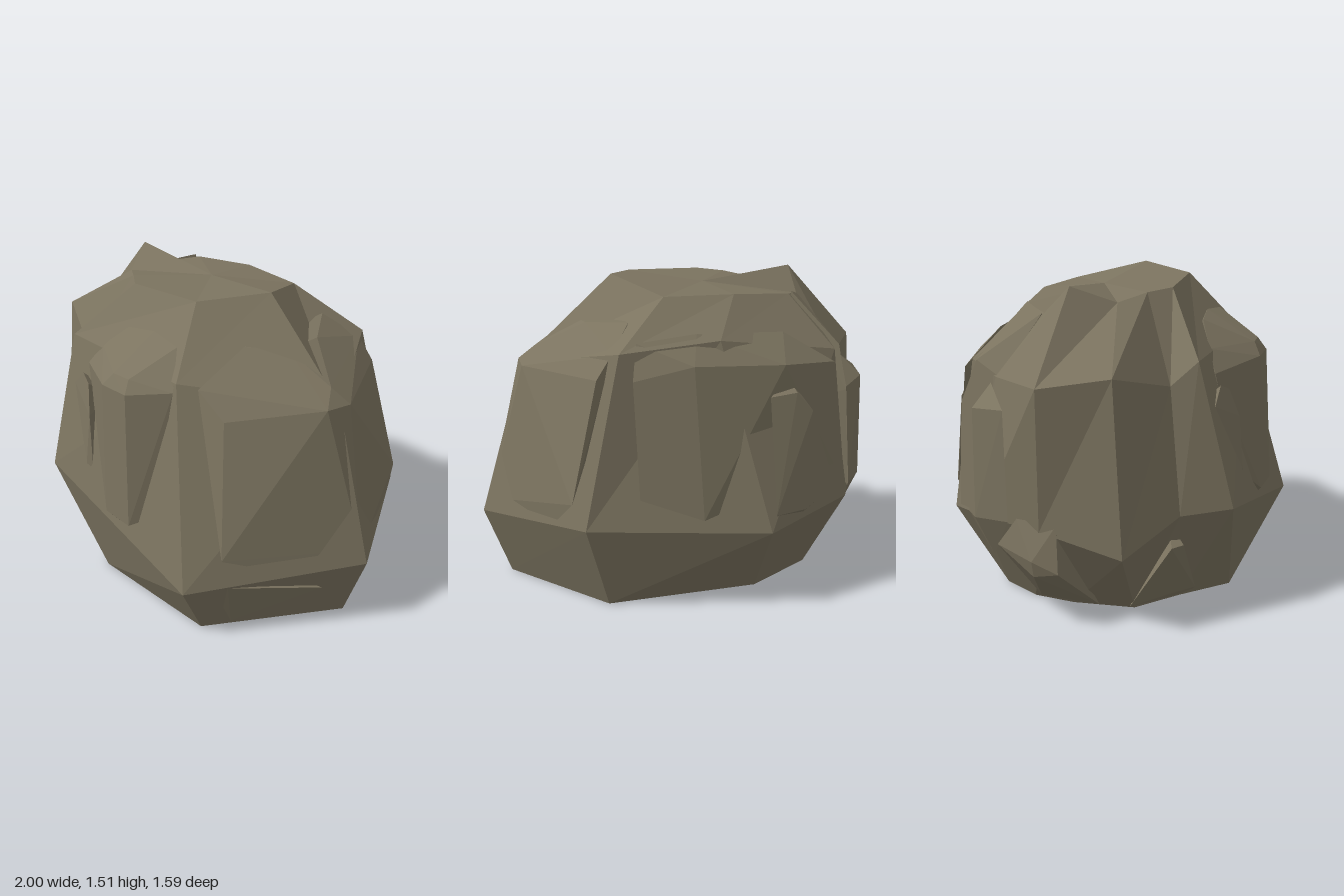
import * as THREE from 'three';
import { ConvexGeometry } from 'three/addons/geometries/ConvexGeometry.js';

// Cross-sections, counter-clockwise from the front corner on the +x side (x, y, z)
const rings = [
  // foot
  [[0.51, 0, 0.65], [0.87, 0, 0.04], [0.5, 0, -0.51], [-0.24, 0, -0.53], [-0.6, 0, -0.33],
    [-0.68, 0, -0.14], [-0.68, 0, 0.06], [-0.62, 0, 0.35], [-0.42, 0, 0.5], [-0.2, 0, 0.69]],
  // widest girth
  [[0.54, 0.27, 0.78], [1, 0.34, 0.04], [0.62, 0.4, -0.57], [-0.21, 0.375, -0.8], [-0.72, 0.42, -0.54],
    [-0.85, 0.45, -0.33], [-0.95, 0.46, 0.02], [-0.93, 0.38, 0.41], [-0.63, 0.5, 0.57], [-0.5, 0.52, 0.78]],
  // shoulder
  [[0.28, 1.19, 0.58], [0.78, 1.09, 0.04], [0.43, 1.2, -0.49], [-0.05, 1.24, -0.52], [-0.68, 1.15, -0.44],
    [-0.77, 1.1, -0.27], [-1, 1.13, 0.04], [-0.9, 1.18, 0.35], [-0.56, 1.08, 0.49], [-0.5, 1.19, 0.6]],
  // rim of the plateau
  [[0.14, 1.48, 0.34], [0.32, 1.5, 0.04], [0.15, 1.42, -0.28], [-0.2, 1.42, -0.3], [-0.52, 1.4, -0.23],
    [-0.63, 1.38, -0.09], [-0.64, 1.51, 0.04], [-0.52, 1.43, 0.22], [-0.38, 1.46, 0.31], [-0.26, 1.47, 0.39]],
];

// Joins the rings with flat triangles and closes both ends
function loft(sections) {
  const pos = [];
  const tri = (...corners) => corners.forEach((p) => pos.push(...p));
  const n = sections[0].length;
  const last = sections.length - 1;
  for (let i = 0; i < n; i++) {
    const j = (i + 1) % n;
    for (let k = 0; k < last; k++) {
      const lo = sections[k], hi = sections[k + 1];
      tri(lo[i], lo[j], hi[j]);
      tri(lo[i], hi[j], hi[i]);
    }
    tri([0, 0, 0], sections[0][j], sections[0][i]);
    tri([-0.15, 1.45, 0], sections[last][i], sections[last][j]);
  }
  const geo = new THREE.BufferGeometry();
  geo.setAttribute('position', new THREE.Float32BufferAttribute(pos, 3));
  geo.computeVertexNormals();
  return geo;
}

// Shallow weathered lumps that break out of the main body
const lumps = {
  frontBulge: [[-0.03, 0.46, 0.79], [0.15, 0.46, 0.79], [-0.04, 1.13, 0.76], [0.12, 1.13, 0.75],
    [0, 1.19, 0.72], [0.1, 1.19, 0.71], [0.02, 0.4, 0.74], [0.22, 0.5, 0.7], [-0.18, 0.6, 0.7],
    [-0.34, 1.1, 0.63], [0.28, 1.15, 0.6], [-0.28, 1.2, 0.58], [-0.16, 1.31, 0.51], [0.18, 1.31, 0.49],
    [0, 1.33, 0.48], [0, 1.2, 0.4]],
  frontRib: [[-0.43, 0.97, 0.66], [-0.35, 1.05, 0.66], [-0.28, 1.02, 0.68], [-0.23, 0.88, 0.72],
    [-0.2, 0.6, 0.74], [-0.24, 0.62, 0.75], [-0.3, 0.9, 0.5]],
  sideBulge: [[0.36, 1.17, 0.52], [0.5, 1.05, 0.49], [0.64, 0.44, 0.63], [0.7, 0.4, 0.53], [0.78, 1.09, 0.12],
    [0.72, 1.16, 0.04], [0.79, 1.08, -0.02], [0.89, 0.63, 0.04], [0.96, 0.4, 0.04], [0.5, 1.29, 0.1],
    [0.49, 1.29, -0.1], [0.38, 1.31, 0.26], [0.33, 1.31, -0.3], [0.45, 1.19, -0.44], [0.53, 1.08, -0.46],
    [0.67, 0.52, -0.52], [0.72, 0.42, -0.42]],
  backBulge: [[0.38, 1.08, -0.54], [0.1, 1.14, -0.585], [-0.35, 1.12, -0.59], [-0.65, 1.1, -0.5],
    [0.38, 0.55, -0.64], [0.1, 0.45, -0.73], [0.05, 1.27, -0.47], [-0.4, 1.25, -0.44], [0.34, 1.24, -0.46],
    [-0.64, 0.6, -0.56], [0, 0.8, -0.3]],
  backChip: [[-0.26, 0.98, -0.63], [-0.4, 0.99, -0.62], [-0.48, 0.9, -0.63], [-0.24, 0.45, -0.775],
    [-0.42, 0.44, -0.71], [-0.5, 0.46, -0.66], [-0.4, 1.04, -0.52], [-0.4, 0.25, -0.5]],
  cornerRib: [[-0.54, 1.41, -0.22], [-0.63, 1.38, -0.1], [-0.73, 1.16, -0.39], [-0.77, 1.1, -0.25],
    [-0.73, 0.95, -0.48], [-0.76, 0.45, -0.49], [-0.83, 0.45, -0.33], [-0.5, 0.8, -0.2]],
  sidePrism: [[-0.8, 1.08, -0.28], [-0.89, 0.98, -0.33], [-0.78, 0.94, -0.39], [-0.94, 1, -0.15],
    [-0.9, 0.46, -0.33], [-0.8, 0.44, -0.42], [-0.94, 0.48, -0.14], [-0.82, 0.25, -0.28]],
  lowerSideChip: [[-0.99, 0.33, 0], [-0.97, 0.25, 0], [-0.97, 0.28, 0.12], [-0.94, 0.5, 0.1],
    [-0.93, 0.5, -0.1], [-0.7, 0.02, 0.02], [-0.69, 0.02, 0.2], [-0.7, 0.02, -0.1], [-0.93, 0.36, -0.2]],
  lowerFrontChip: [[-0.68, 0.36, 0.55], [-0.6, 0.35, 0.58], [-0.5, 0.04, 0.48], [-0.38, 0.04, 0.57],
    [-0.66, 0.02, 0.34], [-0.36, 0, 0.54], [-0.45, 0.4, 0.45]],
  lowerCornerChip: [[0.6, 0.3, 0.66], [0.65, 0.28, 0.6], [0.6, 0.03, 0.54], [0.8, 0.03, 0.21],
    [0.88, 0.22, 0.21], [0.5, 0.2, 0.3]],
};

export function createModel() {
  const stone = new THREE.MeshStandardMaterial({ color: 0x7c7460, flatShading: true });
  stone.name = 'stone';
  const group = new THREE.Group();
  group.name = 'boulder';
  const add = (name, geo) => {
    const mesh = new THREE.Mesh(geo, stone);
    mesh.name = name;
    group.add(mesh);
  };
  add('mainBody', loft(rings));
  for (const [name, pts] of Object.entries(lumps)) {
    add(name, new ConvexGeometry(pts.map((p) => new THREE.Vector3(...p))));
  }
  return group;
}
